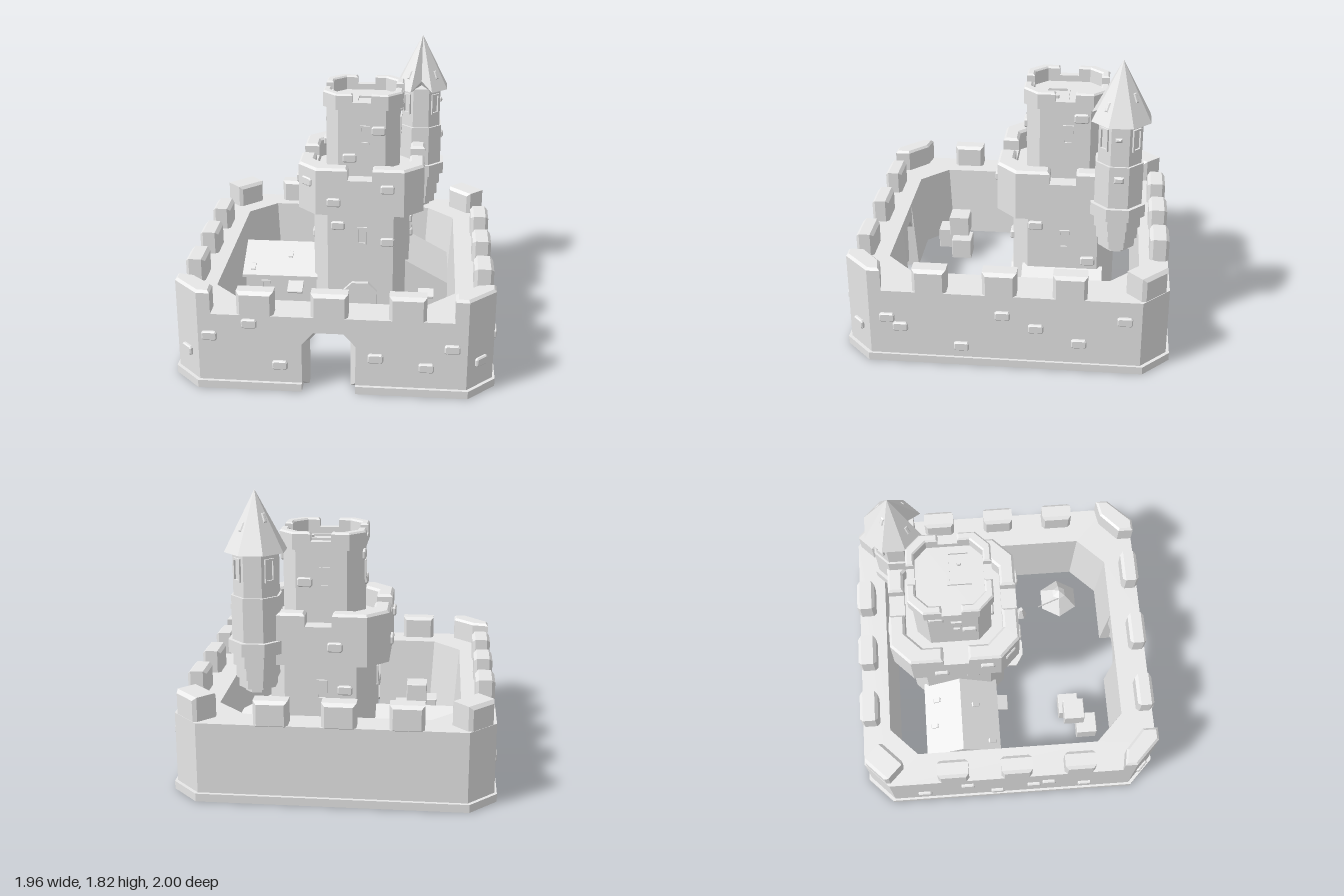
import * as THREE from 'three';

const stone = new THREE.MeshStandardMaterial({ color: 0xe7e7e7, flatShading: true, side: THREE.DoubleSide });
stone.name = 'stone grey';

const V = (p) => p.map(([x, y]) => new THREE.Vector2(x, y));
// eight-cornered outline: a rectangle with cut corners
const oct = (hx, hz, c) => [[hx - c, -hz], [hx, c - hz], [hx, hz - c], [hx - c, hz],
  [c - hx, hz], [-hx, hz - c], [-hx, c - hz], [c - hx, -hz]];
const rect = (w, h) => [[-w / 2, -h / 2], [w / 2, -h / 2], [w / 2, h / 2], [-w / 2, h / 2]];
const arch = (w, h, c) => [[-w / 2, 0], [w / 2, 0], [w / 2, h - c], [w / 2 - c, h], [c - w / 2, h], [-w / 2, h - c]];

function extrude(points, depth, hole, bevel = 0, offset = -bevel) {
  const shape = new THREE.Shape(V(points));
  if (hole) shape.holes.push(new THREE.Path(V(hole).reverse()));
  return new THREE.ExtrudeGeometry(shape, {
    depth, bevelEnabled: bevel > 0, bevelSize: bevel, bevelThickness: bevel, bevelOffset: offset, bevelSegments: 1,
  });
}
// plan outline (second coordinate is -z) raised from y0 to y1
const rise = (points, y0, y1, hole, bevel = 0) =>
  extrude(points, y1 - y0 - 2 * bevel, hole, bevel).rotateX(-Math.PI / 2).translate(0, y0 + bevel, 0);
// chamfered block, centred
const block = (w, h, d, b = 0.015) => extrude(rect(w, h), d - 2 * b, null, b).translate(0, 0, b - d / 2);

// leaves out the faces lying on the ground
function openBottom(geo) {
  const p = geo.attributes.position, kept = [];
  for (let i = 0; i < p.count; i += 3) {
    if (Math.max(p.getY(i), p.getY(i + 1), p.getY(i + 2)) < 0.001) continue;
    for (let j = i; j < i + 3; j++) kept.push(p.getX(j), p.getY(j), p.getZ(j));
  }
  const out = new THREE.BufferGeometry();
  out.setAttribute('position', new THREE.Float32BufferAttribute(kept, 3));
  out.computeVertexNormals();
  return out;
}

function add(parent, name, geo, x = 0, y = 0, z = 0, ry = 0) {
  const m = new THREE.Mesh(geo, stone);
  m.name = name;
  m.position.set(x, y, z);
  m.rotation.y = ry;
  parent.add(m);
  return m;
}
function group(parent, name, x = 0, y = 0, z = 0, ry = 0) {
  const g = new THREE.Group();
  g.name = name;
  g.position.set(x, y, z);
  g.rotation.y = ry;
  parent.add(g);
  return g;
}

const brick = extrude(oct(0.046, 0.029, 0.01), 0.018, null, 0.007).translate(0, 0, -0.006);
const windowFrame = extrude(rect(0.065, 0.125), 0.012, rect(0.042, 0.1));
// bricks on a face lying at distance r in front of the parent's centre
const bricks = (parent, r, list) => list.forEach(([x, y]) => add(parent, 'brick', brick, x, y, r));

function outerWall(root) {
  const wall = group(root, 'outerWall');
  const gl = -0.18, gr = 0.14, iz = 0.77;
  const inner = oct(0.74, 0.785, 0.18).reverse().map(([x, y]) => [x - 0.015, y + 0.015]);
  const gapped = (hx, hz, c) => [[gr, -hz], ...oct(hx, hz, c), [gl, -hz], [gl, -iz], ...inner, [gr, -iz]];
  const body = rise(gapped(0.96, 0.98, 0.16), 0, 0.49);
  // inner faces lean outwards towards the top
  const p = body.attributes.position;
  for (let i = 0; i < p.count; i++) {
    const x = p.getX(i), z = p.getZ(i);
    if (p.getY(i) < 0.1 && Math.abs(x) < 0.77 && Math.abs(z) < 0.81) {
      const atGate = x > gl - 0.01 && x < gr + 0.01;
      p.setXYZ(i, atGate ? x : x * 0.955, 0, z * 0.955);
    }
  }
  add(wall, 'wall', openBottom(body));
  add(wall, 'plinth', openBottom(rise(gapped(0.975, 1, 0.165), 0, 0.05)));

  // gate: lintel and a splayed arch inside the passage
  const mid = (gl + gr) / 2, w = gr - gl;
  const curve = [[-w / 2, 0.31], [0.07 - w / 2, 0.39], [w / 2 - 0.07, 0.39], [w / 2, 0.31]];
  add(wall, 'gateLintel', extrude([...curve, [w / 2, 0.49], [-w / 2, 0.49]], 0.21), mid, 0, 0.77);
  const e = w / 2 + 0.02;
  add(wall, 'gateArch', extrude([[-e, 0.035], [-w / 2, 0.035], ...curve, [w / 2, 0.035], [e, 0.035], [e, 0.42], [-e, 0.42]],
    0.06, null, 0.035, 0), mid, 0, 0.84);

  // battlements
  const tooth = block(0.22, 0.17, 0.11, 0.02), sideTooth = block(0.205, 0.17, 0.12, 0.02);
  [-0.455, -0.015, 0.445].forEach((x) => add(wall, 'frontMerlon', tooth, x, 0.555, 0.925));
  [-0.44, -0.045, 0.355].forEach((x) => add(wall, 'backMerlon', sideTooth, x, 0.555, -0.925));
  for (const s of [-1, 1]) {
    [-0.39, 0.03, 0.45].forEach((z) => add(wall, 'sideMerlon', sideTooth, s * 0.9, 0.555, z, Math.PI / 2));
    add(wall, 'backCornerMerlon', block(0.21, 0.17, 0.165, 0.02), s * 0.82, 0.555, -0.84, s * Math.PI / 4 * 3);
    const corner = [[0.72, -0.98], [0.8, -0.98], [0.96, -0.82], [0.96, -0.74], [0.85, -0.76], [0.72, -0.88]];
    add(wall, 'frontCornerMerlon',
      rise(s > 0 ? corner : corner.map(([x, y]) => [-x, y]).reverse(), 0.46, 0.64, null, 0.015));
    add(wall, 'cornerBrick', brick, s * 0.88, 0.21, 0.9, s * Math.PI / 4);
  }

  // raised bricks
  bricks(wall, 0.98, [[-0.73, 0.35], [-0.49, 0.44], [-0.31, 0.17], [0.26, 0.24], [0.56, 0.19], [0.71, 0.32]]);
  bricks(group(wall, 'rightBricks', 0, 0, 0, Math.PI / 2), 0.96,
    [[-0.71, 0.31], [-0.63, 0.25], [-0.26, 0.13], [-0.01, 0.36], [0.19, 0.28], [0.45, 0.19], [0.72, 0.36]]);
  bricks(group(wall, 'leftBricks', 0, 0, 0, -Math.PI / 2), 0.96,
    [[-0.6, 0.2], [-0.3, 0.36], [-0.1, 0.14], [0.15, 0.26], [0.25, 0.31], [0.5, 0.19]]);
}

// parapet with one gap in the middle of each side
function crown(parent, h, c, t, y0, gapY, y1, gap, bevel) {
  const g = group(parent, 'crown');
  const i = h - t, ci = c * 0.85;
  add(g, 'crownBand', rise(oct(h, h, c), y0, gapY, oct(i, i, ci)));
  const piece = rise([[gap, i], [i - ci, i], [i, i - ci], [i, gap], [h, gap], [h, h - c], [h - c, h], [gap, h]],
    gapY - bevel, y1, null, bevel);
  for (let k = 0; k < 4; k++) add(g, 'crownMerlon', piece, 0, 0, 0, k * Math.PI / 2);
}

function keep(root) {
  const k = group(root, 'keep', 0.1, 0, -0.315);
  add(k, 'lowerTower', openBottom(rise(oct(0.32, 0.32, 0.1), 0, 0.8)));
  add(k, 'middleFloor', rise(oct(0.4, 0.4, 0.125), 0.78, 0.97));
  crown(k, 0.413, 0.125, 0.1, 0.78, 1.02, 1.1, 0.08, 0.015);
  add(k, 'upperTower', rise(oct(0.24, 0.24, 0.085), 0.95, 1.46));
  crown(k, 0.26, 0.09, 0.05, 1.45, 1.5, 1.555, 0.06, 0.01);
  add(k, 'trapdoor', rise(rect(0.22, 0.15), 1.455, 1.475, rect(0.19, 0.12)), 0.06, 0, 0.06);
  add(k, 'trapdoorRing', new THREE.CylinderGeometry(0.015, 0.015, 0.02, 6), 0.09, 1.47, 0.06);
  const lower = [[[-0.15, 0.67], [0.18, 0.56]], [[-0.17, 0.69], [0.16, 0.45]], [[0.15, 0.6]], [[0.1, 0.53]]];
  const middle = [[[-0.17, 0.87], [0.18, 0.97]], [], [[0.1, 0.9]], [[-0.1, 0.87], [0.2, 0.97]]];
  const upper = [[[0.11, 1.31], [-0.08, 1.12]], [[0.1, 1.39]], [[-0.1, 1.25]], [[0.1, 1.2], [-0.1, 1.4]]];
  for (let s = 0; s < 4; s++) {
    const side = group(k, 'keepSide', 0, 0, 0, s * Math.PI / 2);
    bricks(side, 0.32, lower[s]);
    bricks(side, 0.413, middle[s]);
    bricks(side, 0.24, upper[s]);
    add(side, 'window', windowFrame, 0.02, 1.28, 0.24);
    add(side, 'window', windowFrame, 0.01, 0.6, 0.32);
  }
  add(k, 'cornerBrick', brick, -0.345, 0.99, 0.345, -Math.PI / 4);
  add(k, 'doorFrame', extrude(arch(0.23, 0.26, 0.06), 0.03, arch(0.16, 0.225, 0.045).map(([x, y]) => [x, y + 0.005])), 0, 0, 0.32);
  add(k, 'doorStep', openBottom(
    rise([[-0.13, -0.42], [-0.05, -0.47], [0.05, -0.47], [0.13, -0.42], [0.13, -0.3], [-0.13, -0.3]], 0, 0.025)));
}

function turret(root) {
  const t = group(root, 'turret', 0.475, 0, -0.65);
  // [half width, bottom, top]
  [[0.075, 0.6, 0.63], [0.11, 0.63, 0.69], [0.125, 0.69, 0.77], [0.14, 0.77, 0.85], [0.165, 0.85, 0.93],
    [0.143, 0.93, 1.2], [0.13, 1.2, 1.47]].forEach(([r, a, b]) => add(t, 'turretTier', rise(oct(r, r, r * 0.586), a, b)));

  // eight-sided roof with a broken notch in the front of its rim
  const roof = new THREE.ConeGeometry(0.19, 0.36, 16);
  const p = roof.attributes.position;
  for (let i = 0; i < p.count; i++) {
    const x = p.getX(i), z = p.getZ(i);
    if (Math.hypot(x, z) < 0.1) continue;
    const step = Math.round(Math.atan2(x, z) / (Math.PI / 8));
    if (step === 0) p.setXYZ(i, 0, p.getY(i) + 0.06, 0.1);
    else if (step % 2 === 0) p.setXYZ(i, x * 0.924, p.getY(i), z * 0.924);
  }
  add(t, 'turretRoof', roof, 0, 1.64, 0);

  for (let s = 0; s < 4; s++) {
    const side = group(t, 'turretSide', 0, 0, 0, Math.PI / 4 + s * Math.PI / 2);
    add(side, 'turretWindow', extrude(rect(0.065, 0.14), 0.012, rect(0.045, 0.115)), 0, 1.36, 0.13);
    const tile = add(side, 'roofTile', block(0.025, 0.06, 0.02, 0.006), 0.01, 1.56 + 0.05 * (s % 3), 0.122 - 0.024 * (s % 3));
    tile.rotation.x = -0.45;
  }
  const right = group(t, 'turretBricks', 0, 0, 0, Math.PI / 2);
  add(right, 'brick', block(0.06, 0.04, 0.03, 0.01), 0, 1.12, 0.143);
  add(right, 'brick', block(0.04, 0.025, 0.03, 0.008), -0.01, 1.37, 0.13);
}

function courtyard(root) {
  // gabled house beside the keep, ridge along x
  const house = group(root, 'house', -0.72, 0, -0.315);
  const along = (pts, len) => extrude(pts, len).rotateY(Math.PI / 2);
  add(house, 'houseWalls', openBottom(along([[-0.23, 0], [0.23, 0], [0.23, 0.23], [0, 0.37], [-0.23, 0.23]], 0.5)), 0.02);
  add(house, 'houseRoof', along([[-0.255, 0.23], [0, 0.37], [0.255, 0.23], [0.255, 0.25], [0, 0.4], [-0.255, 0.25]], 0.52));
  [[0.07, 0.2], [0.32, 0.1], [0.2, -0.19], [0.38, -0.17]].forEach(([x, z]) => {
    const tile = add(house, 'roofTile', block(0.03, 0.015, 0.06, 0.006), x, 0.405 - Math.abs(z) * 0.59, z);
    tile.rotation.x = Math.sign(z) * 0.53;
  });
  add(house, 'houseWindow', windowFrame, 0.16, 0.14, 0.23);

  // lean-to on the other side
  add(root, 'leanTo', openBottom(extrude([[0.4, 0], [0.69, 0], [0.69, 0.24], [0.4, 0.4]], 0.51)), 0, 0, -0.57);
  for (const x of [-0.35, 0.545]) {
    add(root, 'awning', block(0.105, 0.02, 0.12, 0.005), x, 0.18, -0.045).rotation.x = 0.35;
  }

  // stacked crates
  [[-0.53, 0.07, 0.56], [-0.38, 0.07, 0.445], [-0.46, 0.21, 0.47]]
    .forEach(([x, y, z]) => add(root, 'crate', block(0.14, 0.14, 0.14, 0.004), x, y, z));

  // haystack with a fork stuck in it, and a small sack
  add(root, 'haystack', new THREE.CylinderGeometry(0.05, 0.145, 0.12, 6).rotateY(Math.PI / 6), 0.48, 0.06, 0.455);
  add(root, 'haystackTop', new THREE.ConeGeometry(0.05, 0.04, 6).rotateY(Math.PI / 6), 0.48, 0.14, 0.455);
  const fork = new THREE.LineCurve3(new THREE.Vector3(0.47, 0.08, 0.51), new THREE.Vector3(0.34, 0.22, 0.29));
  add(root, 'forkHandle', new THREE.TubeGeometry(fork, 1, 0.005, 5));
  add(root, 'sack', new THREE.CylinderGeometry(0.015, 0.045, 0.1, 6), 0.375, 0.05, 0.165);
}

export function createModel() {
  const root = new THREE.Group();
  root.name = 'castle';
  outerWall(root);
  keep(root);
  turret(root);
  courtyard(root);
  return root;
}
